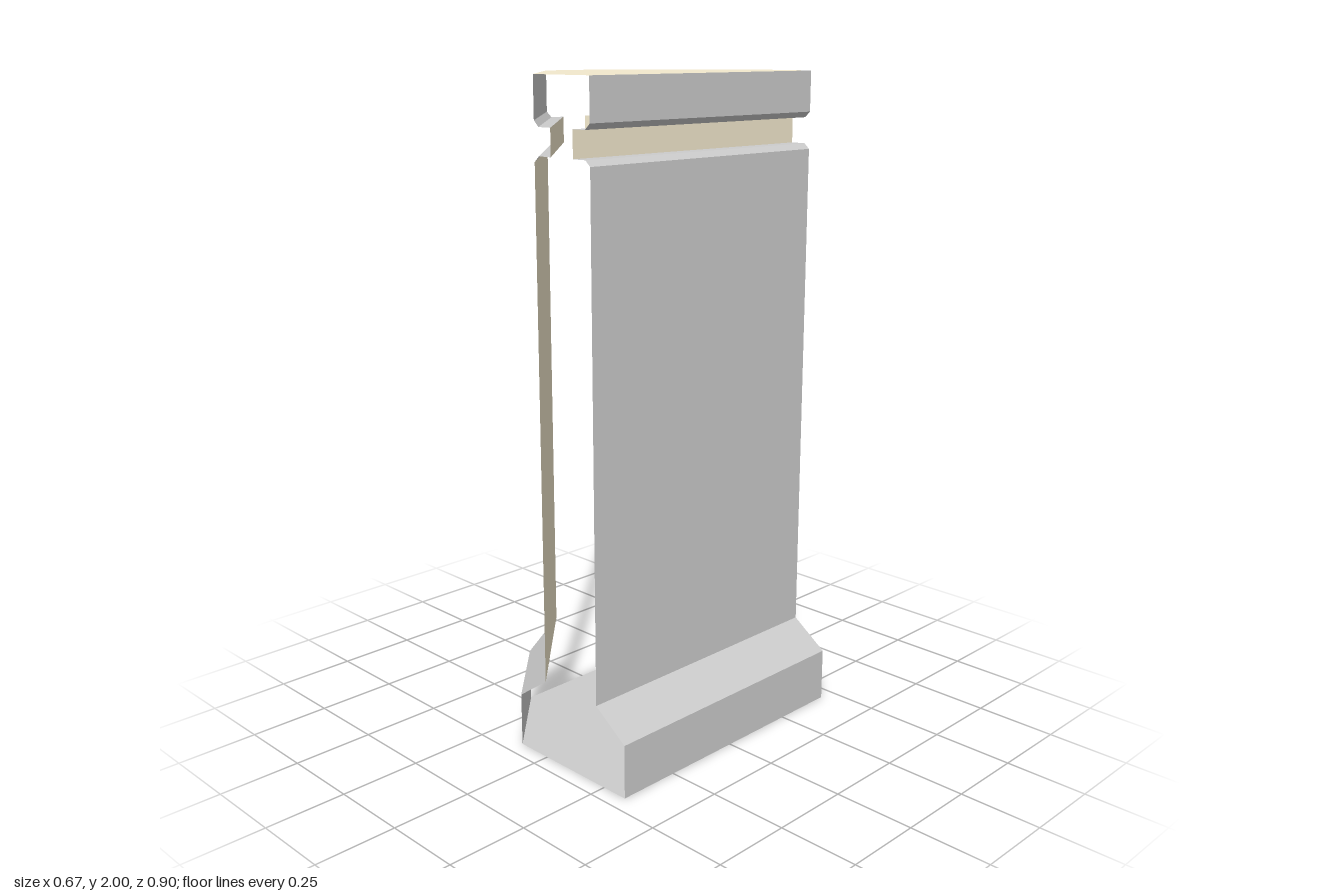
import * as THREE from 'three';

const grey = new THREE.MeshStandardMaterial({ color: 0xcccccc, flatShading: true, side: THREE.DoubleSide });
const cream = new THREE.MeshStandardMaterial({ color: 0xf3e9cd, flatShading: true, side: THREE.DoubleSide });

const Z = 0.448, BACK = -0.338;

// Plan line of each wall, pushed outward by d; ends run left to right seen from outside
const walls = {
  sideWall: d => [[0.22 + d, Z], [0.22 + d, -Z]],
  frontDiagonalWall: d => [[BACK, 0.11 + d], [-d, Z]],
  backDiagonalWall: d => [[-d, -Z], [BACK, -0.11 - d]],
};

// Wall sections from the bottom up: [name, points as [outward, height]]
const sections = [
  ['plinth', [[0.116, 0], [0.116, 0.165], [0, 0.247]]],
  ['panel', [[0, 0.247], [0, 1.77]]],
  ['grooveLowerLip', [[0, 1.77], [-0.018, 1.786], [-0.066, 1.786]]],
  ['grooveBand', [[-0.066, 1.786], [-0.066, 1.863]]],
  ['crown', [[-0.066, 1.863], [-0.018, 1.863], [0, 1.88], [0, 2]]],
];

// Strip of quads following a profile along a wall line
function sheet(line, profile) {
  const pos = [], index = [];
  profile.forEach(([d, y], i) => {
    for (const [x, z] of line(d)) pos.push(x, y, z);
    if (i > 0) {
      const k = 2 * i - 2;
      index.push(k, k + 1, k + 3, k, k + 3, k + 2);
    }
  });
  const g = new THREE.BufferGeometry();
  g.setAttribute('position', new THREE.Float32BufferAttribute(pos, 3));
  g.setIndex(index);
  g.computeVertexNormals();
  return g;
}

// Flat six-sided plate with its outline pushed outward by d
function plate(d, y, up) {
  const outline = Object.values(walls).flatMap(line => line(d));
  const order = [0, 1, 4, 5, 2, 3];
  const shape = new THREE.Shape(order.map(i => new THREE.Vector2(outline[i][0], outline[i][1] * (up ? -1 : 1))));
  const g = new THREE.ShapeGeometry(shape);
  g.rotateX(up ? -Math.PI / 2 : Math.PI / 2);
  g.translate(0, y, 0);
  return g;
}

export function createModel() {
  const model = new THREE.Group();
  model.name = 'pillar';
  const add = (parent, name, geometry, material) => {
    const mesh = new THREE.Mesh(geometry, material);
    mesh.name = name;
    parent.add(mesh);
  };

  // Three walls; the ends between them stay open
  for (const [wallName, line] of Object.entries(walls)) {
    const wall = new THREE.Group();
    wall.name = wallName;
    model.add(wall);
    for (const [name, profile] of sections) {
      const isCream = name === 'grooveBand' || (name === 'panel' && wallName === 'frontDiagonalWall');
      add(wall, name, sheet(line, profile), isCream ? cream : grey);
    }
  }

  // Top and bottom plates
  add(model, 'topPlate', plate(0, 2, true), cream);
  add(model, 'basePlate', plate(0.116, 0, false), grey);
  return model;
}
